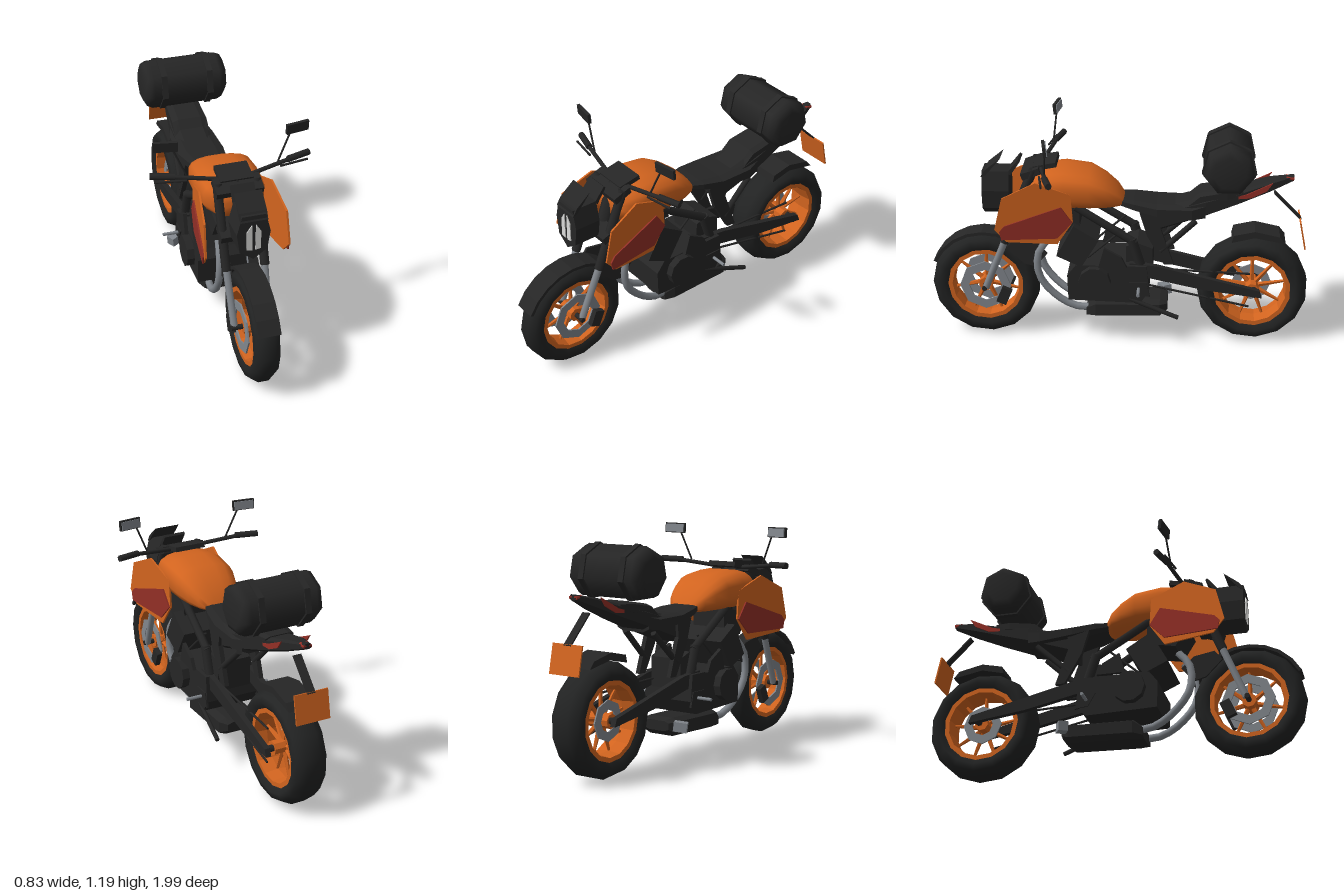
import * as THREE from 'three';

const mat = (name, color, double) => {
  const m = new THREE.MeshStandardMaterial({ color });
  m.name = name;
  if (double) m.side = THREE.DoubleSide;
  return m;
};

export function createModel() {
  const root = new THREE.Group();
  root.name = 'motorcycle';
  const black = mat('black', 0x262626), rubber = mat('rubber', 0x222323);
  const orange = mat('orange', 0xd2641f), red = mat('darkRed', 0x932f26);
  const grey = mat('metalGrey', 0x82878d), white = mat('lampWhite', 0xdcdcda);
  const V = (p) => new THREE.Vector3(...p);

  const add = (name, geo, material, flat = true, parent = root) => {
    if (flat) {
      if (geo.index) geo = geo.toNonIndexed();
      geo.computeVertexNormals();
    }
    const mesh = new THREE.Mesh(geo, material);
    mesh.name = name;
    parent.add(mesh);
    return mesh;
  };
  const box = (name, size, pos, material, rot = [0, 0, 0]) => {
    const m = add(name, new THREE.BoxGeometry(...size), material);
    m.position.set(...pos);
    m.rotation.set(...rot);
    return m;
  };
  // Round bar between two points
  const bar = (name, a, b, r, material, r2 = r, n = 7) => {
    const A = V(a), B = V(b), d = B.clone().sub(A);
    const m = add(name, new THREE.CylinderGeometry(r2, r, d.length(), n), material, false);
    m.position.copy(A).add(B).multiplyScalar(0.5);
    m.quaternion.setFromUnitVectors(new THREE.Vector3(0, 1, 0), d.normalize());
    return m;
  };
  // Side outline given as [z, y], extruded across x
  const prismGeo = (pts, w, x = 0, hole) => {
    const s = new THREE.Shape(pts.map((p) => new THREE.Vector2(...p)));
    if (hole) s.holes.push(new THREE.Path(hole.map((p) => new THREE.Vector2(...p))));
    return new THREE.ExtrudeGeometry(s, { depth: w, bevelEnabled: false })
      .translate(0, 0, -w / 2).rotateY(-Math.PI / 2).translate(x, 0, 0);
  };
  const prism = (name, pts, w, x, material) => add(name, prismGeo(pts, w, x), material);
  const circle = (r, n) => Array.from({ length: n }, (_, i) =>
    [r * Math.cos((i * 2 * Math.PI) / n), r * Math.sin((i * 2 * Math.PI) / n)]);
  // Rounded-box sections [z, yLow, yHigh, halfWidth], z increasing
  const loft = (name, secs, n, power, material, flat) => {
    const pos = [], idx = [], q = (v) => Math.sign(v) * Math.abs(v) ** power;
    secs.forEach(([z, lo, hi, w]) => {
      for (let j = 0; j < n; j++) {
        const a = ((j + 0.5) / n) * Math.PI * 2;
        pos.push(w * q(Math.cos(a)), (lo + hi) / 2 + ((hi - lo) / 2) * q(Math.sin(a)), z);
      }
    });
    const last = secs.length - 1;
    for (let j = 0; j < n; j++) {
      const k = (j + 1) % n;
      for (let i = 0; i < last; i++) {
        const a = i * n + j, b = i * n + k, c = b + n, d = a + n;
        idx.push(a, b, c, a, c, d);
      }
      if (j > 0 && j < n - 1) idx.push(0, k, j, last * n, last * n + j, last * n + k);
    }
    const g = new THREE.BufferGeometry();
    g.setAttribute('position', new THREE.Float32BufferAttribute(pos, 3));
    g.setIndex(idx);
    g.computeVertexNormals();
    return add(name, g, material, flat);
  };
  const lathe = (pts, n) => new THREE.LatheGeometry(pts.map((p) => new THREE.Vector2(...p)), n).rotateZ(Math.PI / 2);

  // Wheels
  const wheel = (name, z, y, R, w, spokes, discs, discR) => {
    const g = new THREE.Group();
    g.name = name;
    g.position.set(0, y, z);
    root.add(g);
    add('tyre', lathe([[0.2, -w * 0.75], [R - 0.06, -w], [R - 0.025, -w * 0.9], [R, -w * 0.4], [R, w * 0.4],
      [R - 0.025, w * 0.9], [R - 0.06, w], [0.2, w * 0.75]], 15), rubber, false, g);
    const h = w * 0.78;
    add('rim', lathe([[0.18, -h], [0.207, -h], [0.207, h], [0.18, h], [0.172, 0], [0.18, -h]], 15), orange, true, g);
    const hub = add('hub', new THREE.CylinderGeometry(0.038, 0.038, w * 1.5, 8).rotateZ(Math.PI / 2), orange, true, g);
    hub.rotation.x = 0.2;
    for (let i = 0; i < spokes; i++) {
      const s = add('spoke', new THREE.CylinderGeometry(0.007, 0.014, 0.16, 5).translate(0, 0.105, 0), orange, true, g);
      s.rotation.x = (i * 2 * Math.PI) / spokes;
    }
    discs.forEach((x) => add('brakeDisc', prismGeo(circle(discR, 8), 0.008, x, circle(discR - 0.048, 8)), grey, true, g));
  };
  wheel('frontWheel', 0.712, 0.29, 0.287, 0.067, 7, [-0.06, 0.06], 0.137);
  wheel('rearWheel', -0.705, 0.3, 0.292, 0.092, 9, [-0.045], 0.105);
  bar('frontAxle', [-0.11, 0.29, 0.712], [0.11, 0.29, 0.712], 0.014, black);
  bar('rearAxle', [-0.13, 0.305, -0.715], [0.13, 0.305, -0.715], 0.018, black);

  // Fenders
  const arc = (cz, cy, r, a0, a1, n) => Array.from({ length: n + 1 }, (_, i) => {
    const a = a0 + ((a1 - a0) * i) / n;
    return [cz + r * Math.cos(a), cy + r * Math.sin(a)];
  });
  prism('frontFender', [...arc(0.712, 0.29, 0.305, 0.45, 2.6, 8), ...arc(0.712, 0.29, 0.288, 2.6, 0.45, 8)], 0.115, 0, black);
  prism('rearFender', [[-0.59, 0.575], [-0.6, 0.615], [-0.71, 0.64], [-0.84, 0.612], [-0.87, 0.575], [-0.71, 0.605]], 0.15, 0, black);

  for (const s of [-1, 1]) {
    // Front fork, brake calipers and fender sides
    bar('forkLower', [s * 0.09, 0.29, 0.705], [s * 0.1, 0.59, 0.585], 0.019, grey);
    bar('forkUpper', [s * 0.1, 0.56, 0.597], [s * 0.1, 0.97, 0.435], 0.024, black);
    box('brakeCaliper', [0.03, 0.09, 0.055], [s * 0.078, 0.24, 0.61], black, [-0.4, 0, 0]);
    prism('fenderSide', [[0.59, 0.52], [0.5, 0.43], [0.44, 0.415], [0.375, 0.49], [0.44, 0.55], [0.55, 0.57]], 0.012, s * 0.072, black);

    // Side fairing with its painted panel, splayed towards the front
    const splay = (name, pts, w, x, m) => {
      const g = prismGeo(pts, w, s * x), p = g.attributes.position;
      for (let i = 0; i < p.count; i++) p.setX(i, p.getX(i) + s * 0.13 * (p.getZ(i) - 0.25));
      add(name, g, m);
    };
    splay('sideFairing', [[0.63, 0.68], [0.59, 0.85], [0.42, 0.93], [0.24, 0.86], [0.23, 0.71], [0.31, 0.59], [0.57, 0.61]], 0.01, 0.165, orange);
    splay('fairingPanel', [[0.605, 0.67], [0.58, 0.7], [0.29, 0.797], [0.232, 0.71], [0.31, 0.625], [0.595, 0.625]], 0.008, 0.174, red);

    // Handlebar, grip, lever and mirror
    bar('handlebar', [s * 0.04, 0.965, 0.405], [s * 0.3, 0.995, 0.355], 0.011, black);
    bar('grip', [s * 0.29, 0.997, 0.358], [s * 0.41, 1, 0.325], 0.017, black);
    bar('lever', [s * 0.24, 0.985, 0.39], [s * 0.39, 0.985, 0.365], 0.006, black);
    bar('mirrorStem', [s * 0.235, 1, 0.365], [s * 0.3, 1.15, 0.352], 0.005, black);
    box('mirrorShell', [0.12, 0.054, 0.016], [s * 0.335, 1.17, 0.352], black, [0.1, s * 0.15, 0]);
    box('mirrorGlass', [0.108, 0.044, 0.006], [s * 0.3335, 1.17, 0.342], grey, [0.1, s * 0.15, 0]);

    // Swingarm, frame and footpeg
    prism('swingarm', [[-0.06, 0.47], [-0.2, 0.455], [-0.74, 0.325], [-0.755, 0.285], [-0.45, 0.325], [-0.17, 0.385], [-0.06, 0.39]], 0.03, s * 0.115, black);
    bar('mainFrame', [s * 0.1, 0.77, 0.22], [s * 0.11, 0.58, -0.09], 0.022, black);
    bar('lowerFrame', [s * 0.11, 0.6, -0.07], [s * 0.11, 0.38, -0.14], 0.026, black);
    prism('rearPost', [[-0.11, 0.75], [-0.23, 0.77], [-0.22, 0.66], [-0.29, 0.46], [-0.24, 0.46], [-0.15, 0.62]], 0.025, s * 0.1, black);
    bar('seatStay', [s * 0.1, 0.53, -0.22], [s * 0.09, 0.7, -0.4], 0.016, black);
    bar('tensionRod', [s * 0.09, 0.65, -0.03], [s * 0.09, 0.48, 0.16], 0.006, black);
    bar('footpeg', [s * 0.13, 0.335, -0.11], [s * 0.24, 0.335, -0.11], 0.009, grey);
    prism('footpegBracket', [[-0.06, 0.37], [-0.15, 0.37], [-0.17, 0.29], [-0.1, 0.3]], 0.012, s * 0.15, black);

    // Engine side cover and exhaust header
    add('engineCover', new THREE.CylinderGeometry(0.085, 0.085, 0.04, 10).rotateZ(Math.PI / 2).translate(s * 0.17, 0.375, 0.12), black);
    prism('enginePlate', [[0.1, 0.46], [0.07, 0.57], [-0.02, 0.52], [-0.05, 0.46]], 0.02, s * 0.165, black);
    const path = new THREE.CatmullRomCurve3([[0.07, 0.58, 0.36], [0.08, 0.5, 0.42], [0.085, 0.37, 0.42],
      [0.08, 0.25, 0.33], [0.07, 0.185, 0.22], [0.06, 0.18, 0.12]].map(([x, y, z]) => new THREE.Vector3(s * x, y, z)));
    add('exhaustPipe', new THREE.TubeGeometry(path, 12, 0.02, 7), grey, false);

    // Tail panel and drive lines
    prism('tailPanel', [[-0.52, 0.815], [-0.66, 0.85], [-0.79, 0.915], [-0.76, 0.87], [-0.68, 0.83]], 0.008, s * 0.078, red)
      .geometry.attributes.position.needsUpdate = true;
    bar('lampHousing', [s * 0.015, 0.92, -0.86], [s * 0.015, 0.918, -0.9], 0.01, red);
  }
  bar('chainUpper', [0.085, 0.425, -0.12], [0.085, 0.405, -0.69], 0.006, black);
  bar('chainLower', [0.085, 0.335, -0.12], [0.085, 0.215, -0.69], 0.006, black);

  // Headlight, lamp strips and wind deflectors
  const lampShape = [[-0.06, 0.94], [-0.085, 0.84], [-0.07, 0.74], [0, 0.69], [0.07, 0.74], [0.085, 0.84], [0.06, 0.94]];
  const lampGeo = new THREE.ExtrudeGeometry(new THREE.Shape(lampShape.map((p) => new THREE.Vector2(...p))), { depth: 0.14, bevelEnabled: false });
  add('headlight', lampGeo.translate(0, 0, 0.57), black);
  for (const s of [-1, 1]) {
    const strip = new THREE.Shape([[0.008, 0.745], [0.036, 0.75], [0.036, 0.85], [0.01, 0.89]].map(([x, y]) => new THREE.Vector2(s * x, y)));
    add('lampStrip', new THREE.ExtrudeGeometry(strip, { depth: 0.006, bevelEnabled: false }).translate(0, 0, 0.709), white);
  }
  prism('windDeflector', [[0.715, 0.91], [0.69, 0.95], [0.61, 1.015], [0.625, 0.995], [0.69, 0.92]], 0.14, 0, black);
  prism('dashPanel', [[0.58, 0.93], [0.52, 1.005], [0.51, 0.995], [0.56, 0.92]], 0.12, 0, black);
  box('forkClampUpper', [0.24, 0.035, 0.1], [0, 0.95, 0.45], black, [0.35, 0, 0]);
  box('forkClampLower', [0.24, 0.04, 0.09], [0, 0.74, 0.53], black, [0.35, 0, 0]);
  box('instrument', [0.17, 0.025, 0.12], [0, 0.98, 0.38], black, [0.2, 0, 0]);
  bar('steeringHead', [0, 0.7, 0.5], [0, 0.96, 0.41], 0.04, black);

  // Fuel tank
  loft('fuelTank', [[-0.03, 0.765, 0.8, 0.07], [0.01, 0.76, 0.855, 0.115], [0.07, 0.755, 0.905, 0.145], [0.15, 0.755, 0.95, 0.168],
    [0.28, 0.755, 0.967, 0.172], [0.39, 0.77, 0.955, 0.16], [0.47, 0.79, 0.91, 0.12]], 16, 0.72, orange, false);

  // Seat and tail
  loft('seat', [[-0.45, 0.705, 0.805, 0.105], [-0.38, 0.7, 0.785, 0.125], [-0.2, 0.72, 0.785, 0.13], [-0.08, 0.75, 0.8, 0.11], [0, 0.77, 0.805, 0.08]], 8, 0.5, black, true);
  loft('tail', [[-0.9, 0.905, 0.935, 0.018], [-0.78, 0.85, 0.912, 0.055], [-0.62, 0.785, 0.865, 0.085], [-0.45, 0.72, 0.83, 0.105], [-0.2, 0.63, 0.76, 0.1]], 8, 0.5, black, true);
  loft('rearSeat', [[-0.64, 0.83, 0.875, 0.08], [-0.56, 0.81, 0.875, 0.095], [-0.42, 0.78, 0.85, 0.1], [-0.36, 0.76, 0.79, 0.1]], 8, 0.5, black, true);

  // Number plate on its carrier
  box('plateCarrier', [0.045, 0.2, 0.008], [0, 0.765, -0.875], black, [0.78, 0, 0]);
  box('numberPlate', [0.185, 0.15, 0.008], [0, 0.628, -0.955], orange, [0.2, 0, 0]);

  // Luggage roll with two straps
  const roll = (pts) => lathe(pts, 7).rotateX(-Math.PI / 2).translate(0, 1.015, -0.565);
  add('luggageRoll', roll([[0, -0.228], [0.085, -0.228], [0.12, -0.21], [0.134, -0.18], [0.134, 0.18], [0.12, 0.21], [0.085, 0.228], [0, 0.228]]), black, false);
  for (const x of [-0.125, 0.125])
    add('luggageStrap', roll([[0.13, x - 0.016], [0.143, x - 0.016], [0.143, x + 0.016], [0.13, x + 0.016]]), black);

  // Engine, radiator and silencer
  prism('engineBlock', [[0.26, 0.26], [0.265, 0.4], [0.22, 0.46], [-0.15, 0.46], [-0.165, 0.32], [-0.12, 0.25]], 0.3, 0, black);
  prism('gearbox', [[-0.04, 0.45], [-0.04, 0.55], [-0.1, 0.57], [-0.18, 0.54], [-0.18, 0.38]], 0.19, 0, black);
  prism('radiator', [[0.32, 0.51], [0.23, 0.68], [0.1, 0.6], [0.19, 0.45]], 0.3, 0, black);
  prism('frontFrame', [[0.42, 0.72], [0.2, 0.77], [0.2, 0.64], [0.35, 0.61]], 0.2, 0, black);
  loft('silencer', [[-0.26, 0.17, 0.225, 0.08], [-0.22, 0.14, 0.24, 0.115], [0.12, 0.13, 0.235, 0.115], [0.17, 0.13, 0.195, 0.09]], 8, 0.5, black, true);
  box('exhaustTip', [0.07, 0.05, 0.05], [-0.14, 0.203, -0.24], grey, [0, 0.5, 0.12]);
  bar('sideStand', [0.14, 0.27, -0.06], [0.17, 0.18, -0.32], 0.012, black);

  return root;
}
